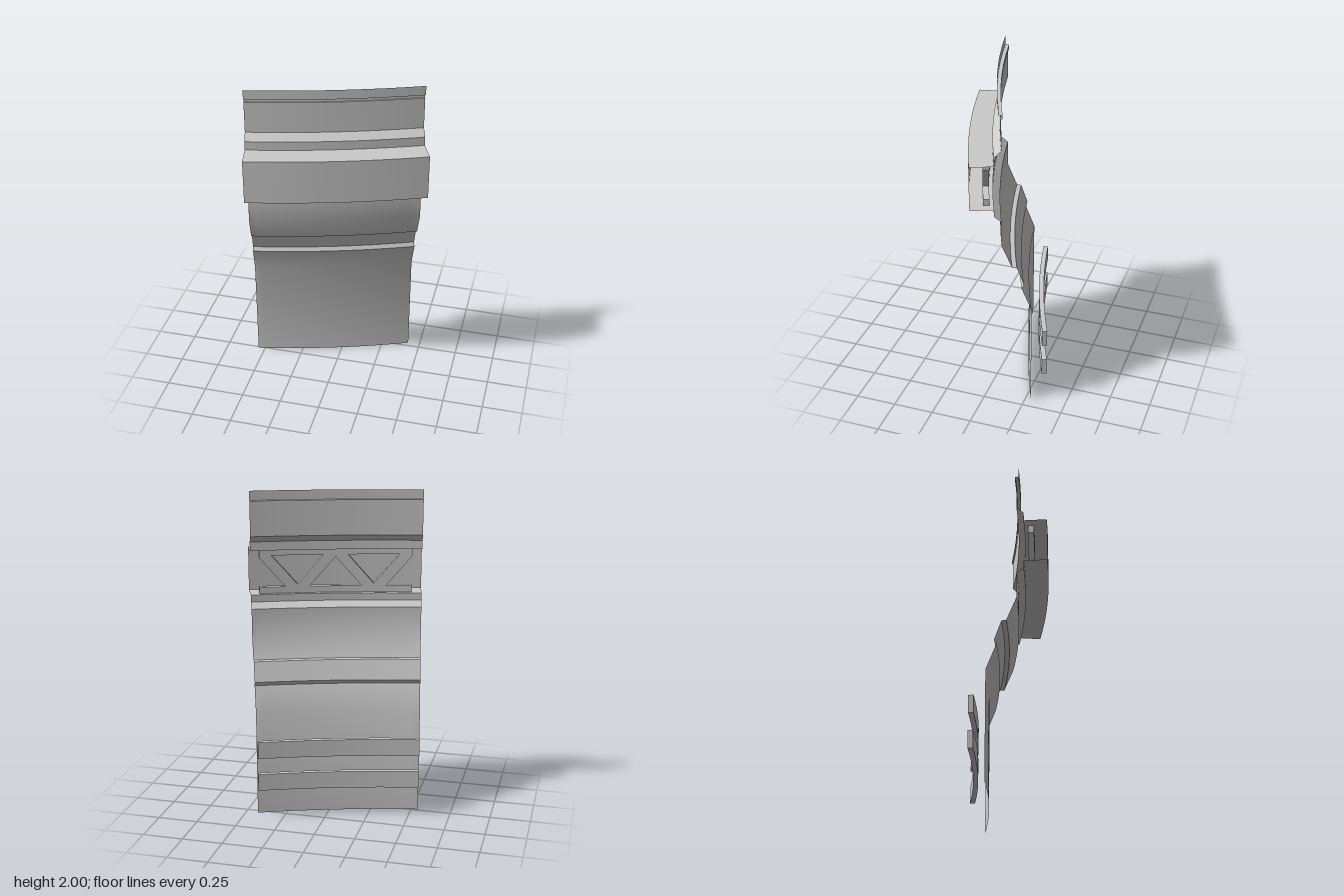
import * as THREE from 'three';
import { toCreasedNormals } from 'three/addons/utils/BufferGeometryUtils.js';

const DEG = Math.PI / 180;
const START = 11.25, END = 22.5;          // sector of the ring, degrees
const CENTRE = [-1.547, 0, -5.04];        // axis of the ring

const material = new THREE.MeshStandardMaterial({ color: 0xcccccc });
const sheetMaterial = new THREE.MeshStandardMaterial({ color: 0xcccccc, side: THREE.DoubleSide });

function addMesh(parent, name, geometry, mat) {
  const mesh = new THREE.Mesh(toCreasedNormals(geometry, 35 * DEG), mat);
  mesh.name = name;
  parent.add(mesh);
}

// Thin sheet swept around the ring from a [radius, y] profile
function sheet(profile) {
  const points = profile.map(([r, y]) => new THREE.Vector2(r, y));
  return new THREE.LatheGeometry(points, 24, START * DEG, (END - START) * DEG);
}

// Bar bent around the ring: its middle height runs from y0 to y1, limited to lo..hi
function bentBar(a0, a1, y0, y1, height, r0, r1, lo = -Infinity, hi = Infinity) {
  const geometry = new THREE.BoxGeometry(1, 1, 1, 20, 1, 1);
  const p = geometry.attributes.position;
  for (let i = 0; i < p.count; i++) {
    const t = p.getX(i) + 0.5;
    const angle = THREE.MathUtils.lerp(a0, a1, t) * DEG;
    const r = THREE.MathUtils.lerp(r0, r1, p.getZ(i) + 0.5);
    const y = THREE.MathUtils.lerp(y0, y1, t) + p.getY(i) * height;
    p.setXYZ(i, r * Math.sin(angle), THREE.MathUtils.clamp(y, lo, hi), r * Math.cos(angle));
  }
  return geometry;
}

export function createModel() {
  const model = new THREE.Group();
  model.name = 'curvedWallSegment';
  const ring = new THREE.Group();
  ring.name = 'ringSector';
  ring.position.set(...CENTRE);
  model.add(ring);

  // Lower wall with its stepped flare
  addMesh(ring, 'lowerWall', sheet([
    [5.15, 0], [5.15, 0.66], [5.212, 0.82], [5.198, 0.845], [5.24, 0.965],
    [5.268, 0.968], [5.328, 1.115], [5.328, 1.275], [5.37, 1.31], [5.37, 1.355],
  ]), sheetMaterial);

  // Projecting band, open at the back and at both ends
  addMesh(ring, 'projectingBand', sheet([
    [5.37, 1.355], [5.51, 1.355], [5.51, 1.63], [5.37, 1.63],
  ]), sheetMaterial);

  // Upper wall with groove and rim
  addMesh(ring, 'upperWall', sheet([
    [5.37, 1.63], [5.37, 1.685], [5.328, 1.725], [5.328, 1.917],
    [5.32, 1.917], [5.32, 1.942], [5.343, 1.942], [5.343, 2],
  ]), sheetMaterial);

  // Truss behind the band: two chords and four diagonals
  const truss = new THREE.Group();
  truss.name = 'truss';
  ring.add(truss);
  const [tStart, tEnd, rIn, rOut, low, high] = [11.9, 21.9, 5.393, 5.43, 1.356, 1.629];
  addMesh(truss, 'bottomChord', bentBar(tStart, tEnd, 1.376, 1.376, 0.04, rIn, rOut), material);
  addMesh(truss, 'topChord', bentBar(tStart, tEnd, 1.611, 1.611, 0.036, rIn, rOut), material);
  const step = (tEnd - tStart) / 4;
  for (let i = 0; i < 4; i++) {
    const [y0, y1] = i % 2 ? [1.36, 1.63] : [1.63, 1.36];
    const a = tStart + i * step;
    addMesh(truss, 'diagonal', bentBar(a, a + step, y0, y1, 0.1, rIn, rOut, low, high), material);
  }

  // Two rails standing off the back of the lower wall
  for (const y of [0.243, 0.453]) {
    addMesh(ring, 'backRail', bentBar(START, END, y, y, 0.107, 5.055, 5.085), material);
  }
  return model;
}
